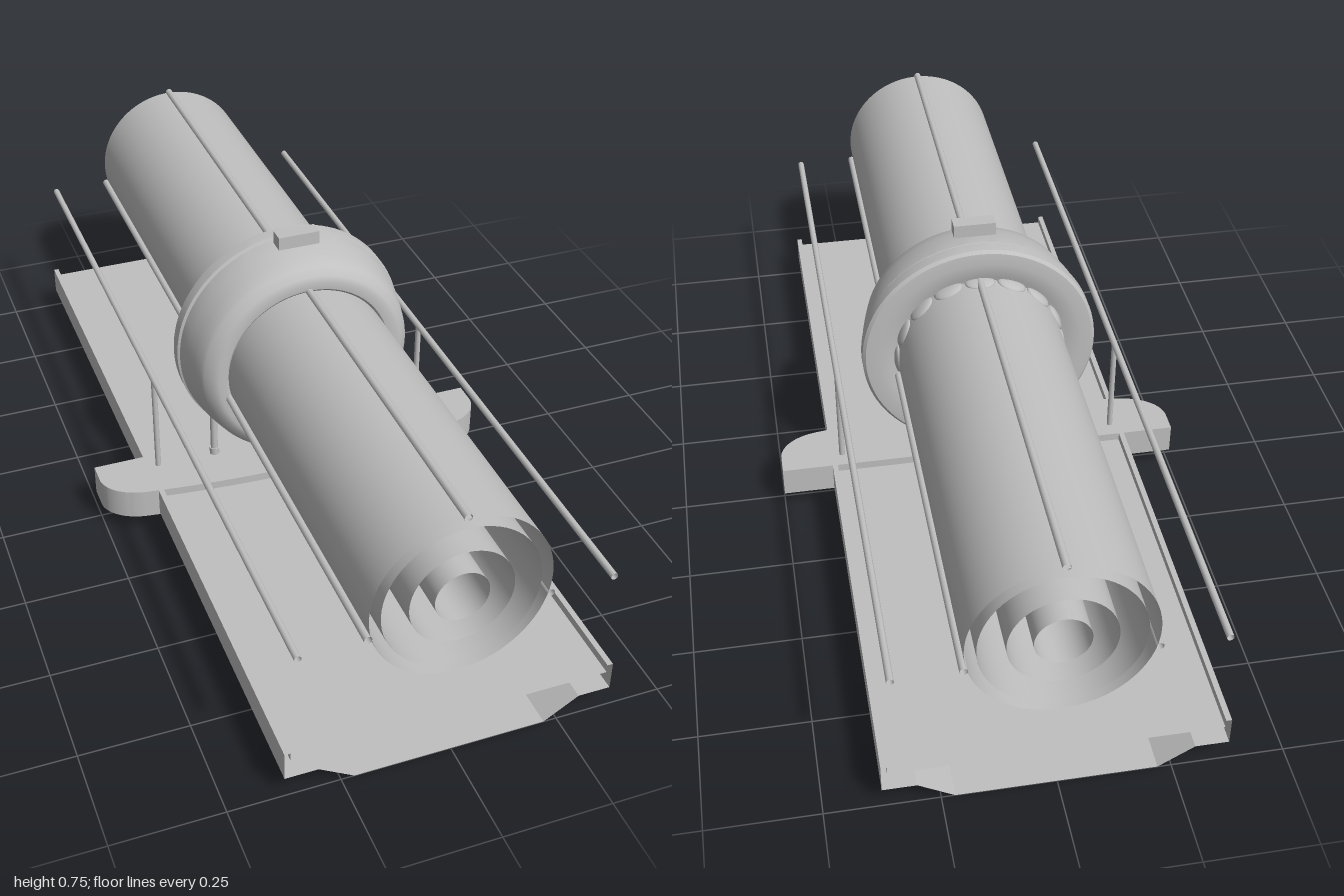
import * as THREE from 'three';
import { toCreasedNormals } from 'three/addons/utils/BufferGeometryUtils.js';

export function createModel() {
  const model = new THREE.Group();
  const grey = new THREE.MeshStandardMaterial({ color: 0xc0c0c0, side: THREE.DoubleSide });
  grey.name = 'plain grey';
  const AXIS = 0.432; // height of the pipe axis

  const add = (name, geometry, x = 0, y = 0, z = 0) => {
    const mesh = new THREE.Mesh(geometry, grey);
    mesh.name = name;
    mesh.position.set(x, y, z);
    model.add(mesh);
    return mesh;
  };
  // open-ended tube running the full length along z
  const longTube = (name, r, x, y, sides = 64) =>
    add(name, new THREE.CylinderGeometry(r, r, 2, sides, 1, true).rotateX(Math.PI / 2), x, y);

  // nested pipes
  longTube('outerPipe', 0.2, 0, AXIS, 96);
  longTube('pipeLining', 0.175, 0, AXIS);
  longTube('middlePipe', 0.115, 0, AXIS);
  longTube('corePipe', 0.06, 0, AXIS);

  // rails on the pipe and hand rails beside it
  longTube('topRail', 0.009, 0, AXIS + 0.202, 12);
  for (const s of [-1, 1]) {
    longTube('pipeSideRail', 0.009, s * 0.2, 0.38, 12);
    longTube('handRail', 0.008, s * 0.347, 0.378, 12);
    add('handRailPost', new THREE.CylinderGeometry(0.007, 0.007, 0.26, 16), s * 0.347, 0.245);
  }

  // collar with a stepped front and a closed centre
  const profile = [
    [0, 0.075], [0.05, 0.072], [0.105, 0.06], [0.12, 0.072], [0.145, 0.07], [0.15, 0.09],
    [0.17, 0.095], [0.175, 0.11], [0.19, 0.125], [0.205, 0.138], [0.225, 0.14], [0.238, 0.135],
    [0.255, 0.118], [0.26, 0.11], [0.268, 0.08], [0.276, 0.045], [0.281, 0.008], [0.277, 0.004],
    [0.285, 0], [0.285, -0.03], [0.278, -0.037], [0.25, -0.04], [0.215, -0.037], [0.2, -0.03], [0, -0.03],
  ].map(([r, z]) => new THREE.Vector2(r, z));
  const collar = new THREE.LatheGeometry(profile, 96).rotateX(Math.PI / 2);
  add('collar', toCreasedNormals(collar, 0.6), 0, AXIS);

  // small lugs around the back of the collar
  const lugCount = 16;
  for (let i = 0; i < lugCount; i++) {
    const a = (i / lugCount) * Math.PI * 2;
    const lug = add('collarLug', new THREE.SphereGeometry(1, 16, 10),
      Math.cos(a) * 0.198, AXIS + Math.sin(a) * 0.198, -0.035);
    lug.scale.set(0.011, 0.036, 0.03);
    lug.rotation.z = a;
  }

  // box above the collar
  add('topBox', new THREE.BoxGeometry(0.1, 0.032, 0.036), 0, 0.732, 0.05);

  // open-ended deck trough: strips between neighbouring outline points
  const half = [[0.362, 0.1], [0.362, 0.12], [0.375, 0.12], [0.375, 0.05], [0.3, 0.05], [0.22, 0]];
  const outline = [...half, ...half.map(([x, y]) => [-x, y]).reverse()];
  outline.forEach(([x0, y0], i) => {
    const [x1, y1] = outline[(i + 1) % outline.length];
    const strip = new THREE.PlaneGeometry(Math.hypot(x1 - x0, y1 - y0), 2).rotateX(Math.PI / 2);
    add('deckPanel', strip, (x0 + x1) / 2, (y0 + y1) / 2).rotation.z = Math.atan2(y1 - y0, x1 - x0);
  });

  // cross beam with a bowed front edge
  const plan = new THREE.Shape();
  plan.moveTo(-0.5, -0.042);
  plan.lineTo(0.5, -0.042);
  plan.lineTo(0.5, 0.01);
  plan.bezierCurveTo(0.5, 0.05, 0.46, 0.088, 0.4, 0.095);
  plan.quadraticCurveTo(0.2, 0.125, 0, 0.125);
  plan.quadraticCurveTo(-0.2, 0.125, -0.4, 0.095);
  plan.bezierCurveTo(-0.46, 0.088, -0.5, 0.05, -0.5, 0.01);
  const beam = new THREE.ExtrudeGeometry(plan, { depth: 0.075, bevelEnabled: false, curveSegments: 16 });
  add('crossBeam', toCreasedNormals(beam.rotateX(Math.PI / 2), 0.6), 0, 0.12);

  // support pole under the collar
  add('supportPole', new THREE.CylinderGeometry(0.009, 0.009, 0.16, 16), -0.2, 0.19);
  add('supportPoleFoot', new THREE.CylinderGeometry(0.012, 0.012, 0.02, 16), -0.2, 0.128);
  return model;
}
